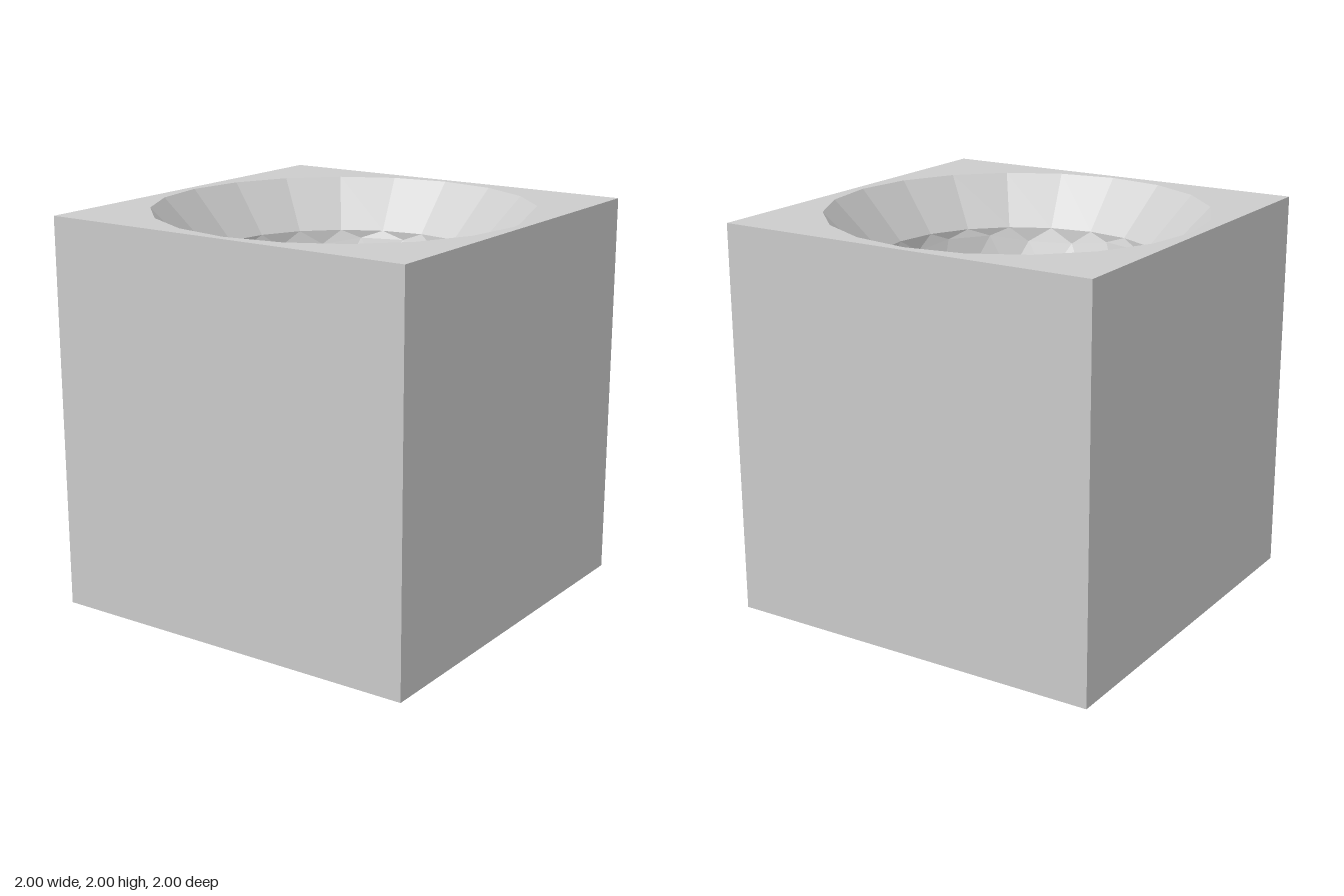
import * as THREE from 'three';

const CONE_TOP = 0.955, CONE_LOW = 0.72, CONE_Y = 1.75; // funnel radii and lower height
const BALL_R = 0.732, BALL_Y = 1.88;                    // faceted sphere forming the bowl
const TUBE_LENGTH = 0.9;

const material = new THREE.MeshStandardMaterial({
  color: 0xcccccc, flatShading: true, side: THREE.DoubleSide,
});

function addMesh(group, name, geometry) {
  const mesh = new THREE.Mesh(geometry, material);
  mesh.name = name;
  group.add(mesh);
  return mesh;
}

function fromTriangles(points) {
  const geometry = new THREE.BufferGeometry().setFromPoints(points);
  geometry.computeVertexNormals();
  return geometry;
}

// Point on the unit sphere from azimuth (degrees) and height
function onSphere(degrees, y) {
  const a = THREE.MathUtils.degToRad(degrees), r = Math.sqrt(1 - y * y);
  return new THREE.Vector3(r * Math.cos(a), y, r * Math.sin(a));
}

// Split a spherical triangle into four, repeatedly
function subdivide([a, b, c], level) {
  if (level === 0) return [[a, b, c]];
  const mid = (p, q) => p.clone().add(q).normalize();
  const ab = mid(a, b), bc = mid(b, c), ca = mid(c, a);
  return [[a, ab, ca], [ab, b, bc], [ca, bc, c], [ab, bc, ca]]
    .flatMap((t) => subdivide(t, level - 1));
}

// Bowl: lower icosphere between the funnel edge and the hole; tube: hole edge pulled down
function bowlAndTube() {
  const faces = [], h = 1 / Math.sqrt(5), pole = new THREE.Vector3(0, -1, 0);
  for (let k = 0; k < 5; k++) {
    const low = onSphere(180 + 72 * k, -h), next = onSphere(252 + 72 * k, -h);
    const high = onSphere(216 + 72 * k, h), highNext = onSphere(288 + 72 * k, h);
    faces.push([pole, low, next], [low, high, next], [next, high, highNext]);
  }

  // The equator is lowered onto the funnel's bottom edge
  const place = (v) => {
    if (v.y > -1e-4) {
      const a = Math.atan2(v.z, v.x);
      return new THREE.Vector3(CONE_LOW * Math.cos(a), CONE_Y, CONE_LOW * Math.sin(a));
    }
    return v.clone().multiplyScalar(BALL_R).add(new THREE.Vector3(0, BALL_Y, 0));
  };
  const drop = (v) => v.clone().setY(v.y - TUBE_LENGTH);

  const bowl = [], tube = [];
  for (let tri of faces.flatMap((f) => subdivide(f, 2))) {
    if (tri.some((v) => v.y < -0.75 || v.y > 1e-4)) continue;
    const [a, b, c] = tri;
    const normal = b.clone().sub(a).cross(c.clone().sub(a));
    if (normal.dot(a) > 0) tri = [a, c, b]; // face the inside
    bowl.push(...tri.map(place));
    for (let i = 0; i < 3; i++) {
      const p = tri[i], q = tri[(i + 1) % 3];
      if (p.y > -0.66 || q.y > -0.66) continue;
      const P = place(p), Q = place(q);
      tube.push(Q, P, drop(P), Q, drop(P), drop(Q));
    }
  }
  return [fromTriangles(bowl), fromTriangles(tube)];
}

export function createModel() {
  const group = new THREE.Group();
  group.name = 'socketBlock';

  // Four outer walls, open underneath
  const walls = new THREE.CylinderGeometry(Math.SQRT2, Math.SQRT2, 2, 4, 1, true);
  walls.rotateY(Math.PI / 4).translate(0, 1, 0);
  addMesh(group, 'outerWalls', walls);

  // Square top with a twenty-sided opening
  const square = new THREE.Shape([[-1, -1], [1, -1], [1, 1], [-1, 1]]
    .map(([x, y]) => new THREE.Vector2(x, y)));
  const rim = [];
  for (let i = 0; i < 20; i++) {
    const a = (i * Math.PI) / 10;
    rim.push(new THREE.Vector2(CONE_TOP * Math.cos(a), CONE_TOP * Math.sin(a)));
  }
  square.holes.push(new THREE.Path(rim));
  const top = new THREE.ShapeGeometry(square);
  top.rotateX(-Math.PI / 2).translate(0, 2, 0);
  addMesh(group, 'topPlate', top);

  // Sloping funnel, facing inwards
  const funnel = new THREE.LatheGeometry(
    [new THREE.Vector2(CONE_TOP, 2), new THREE.Vector2(CONE_LOW, CONE_Y)], 20);
  addMesh(group, 'funnel', funnel);

  // Faceted bowl and the tube hanging beneath it
  const [bowl, tube] = bowlAndTube();
  addMesh(group, 'bowl', bowl);
  addMesh(group, 'drainTube', tube);

  return group;
}
